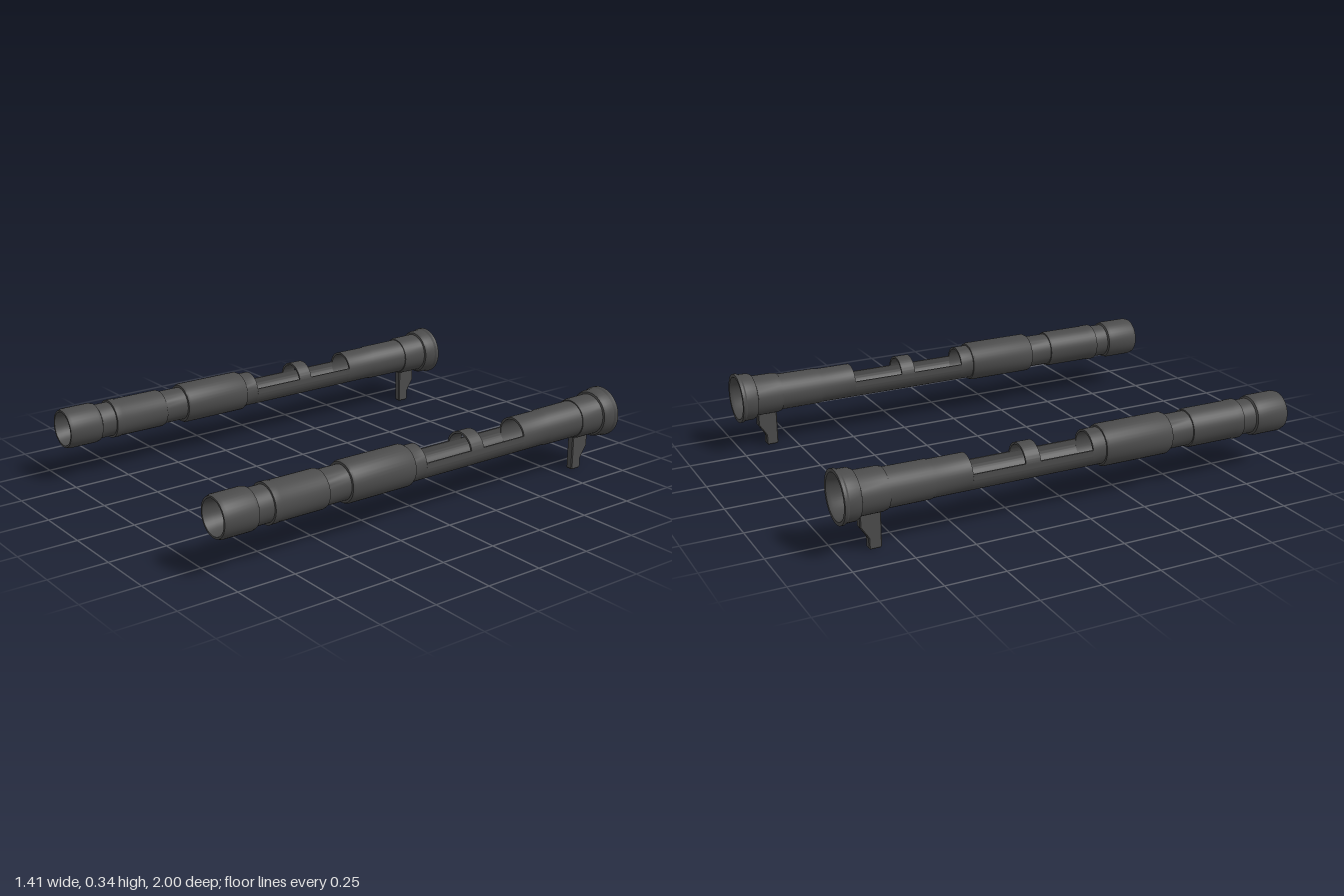
import * as THREE from 'three';
import { toCreasedNormals } from 'three/addons/utils/BufferGeometryUtils.js';

const AXIS_Y = 0.235;
const SPACING = 0.595;
const R = 0.075; // plain tube radius
const CUT = Math.asin(0.014 / R); // angle of the window sill

const darkMetal = new THREE.MeshStandardMaterial({ color: 0x4b4b4b });
darkMetal.name = 'darkMetal';

function part(name, geometry) {
  const mesh = new THREE.Mesh(toCreasedNormals(geometry, 0.5), darkMetal);
  mesh.name = name;
  return mesh;
}

// Hollow turned part: closed [z, radius] profile, outside with rising z, then the bore back
function turned(name, profile) {
  const points = [...profile, profile[0]].map(([z, r]) => new THREE.Vector2(r, z));
  return part(name, new THREE.LatheGeometry(points, 40).rotateX(Math.PI / 2));
}

// A section in the xy plane swept from z0 to z1
function swept(name, shape, z0, z1) {
  const geometry = new THREE.ExtrudeGeometry(shape, { depth: z1 - z0, bevelEnabled: false, curveSegments: 24 });
  return part(name, geometry.translate(0, 0, z0));
}

function createTube() {
  const tube = new THREE.Group();
  tube.name = 'tube';
  const barrel = new THREE.Group();
  barrel.name = 'barrel';
  barrel.position.y = AXIS_Y;
  tube.add(barrel);

  // Front half with its sleeves and muzzle collar
  barrel.add(turned('frontBarrel', [
    [0.055, R], [0.115, R], [0.115, 0.082], [0.125, 0.087], [0.415, 0.087], [0.425, 0.082],
    [0.425, 0.072], [0.53, 0.072], [0.53, 0.078], [0.54, 0.081], [0.745, 0.081], [0.75, 0.083],
    [0.78, 0.083], [0.78, 0.074], [0.845, 0.074], [0.85, 0.082], [0.865, 0.086], [0.985, 0.086],
    [1, 0.081], [1, 0.073], [0.96, 0.066], [0.055, 0.066],
  ]));

  // Rear half with its stepped flare
  barrel.add(turned('rearBarrel', [
    [-1, 0.108], [-0.988, 0.108], [-0.98, 0.103], [-0.94, 0.102], [-0.928, 0.096], [-0.925, 0.088],
    [-0.825, 0.087], [-0.81, 0.083], [-0.81, 0.079], [-0.63, 0.078], [-0.62, R], [-0.47, R],
    [-0.47, 0.066], [-0.86, 0.066], [-0.985, 0.084], [-1, 0.094],
  ]));

  // Open trough below the two windows
  const trough = new THREE.Shape();
  trough.absarc(0, 0, R, CUT, Math.PI - CUT, true);
  trough.lineTo(-0.067, 0.014);
  trough.absellipse(0, 0, 0.067, 0.055, Math.PI, Math.PI * 2, false, 0);
  trough.lineTo(0.067, 0.014);
  trough.closePath();
  barrel.add(swept('windowTrough', trough, -0.47, 0.055));

  // Bridge between the windows
  const bridge = new THREE.Shape();
  bridge.absarc(0, 0, R, CUT, Math.PI - CUT, false);
  bridge.absarc(0, 0, 0.066, Math.PI - CUT, CUT, true);
  bridge.closePath();
  barrel.add(swept('windowBridge', bridge, -0.245, -0.18));

  // Lever under the rear end, drawn as [z, y]
  const outline = [
    [-0.825, 0.16], [-0.825, 0.006], [-0.831, 0], [-0.872, 0], [-0.878, 0.006], [-0.878, 0.045],
    [-0.888, 0.062], [-0.912, 0.098], [-0.912, 0.16],
  ].map(([z, y]) => new THREE.Vector2(z, y));
  const lever = new THREE.ExtrudeGeometry(new THREE.Shape(outline), {
    depth: 0.024, bevelEnabled: true, bevelThickness: 0.004, bevelSize: 0.004, bevelOffset: -0.004, bevelSegments: 1,
  });
  lever.translate(0, 0, -0.012).rotateY(-Math.PI / 2);
  tube.add(part('lever', lever));
  return tube;
}

export function createModel() {
  const model = new THREE.Group();
  model.name = 'tubePair';
  for (const [name, side] of [['leftTube', 1], ['rightTube', -1]]) {
    const tube = createTube();
    tube.name = name;
    tube.position.x = side * SPACING;
    model.add(tube);
  }
  return model;
}
